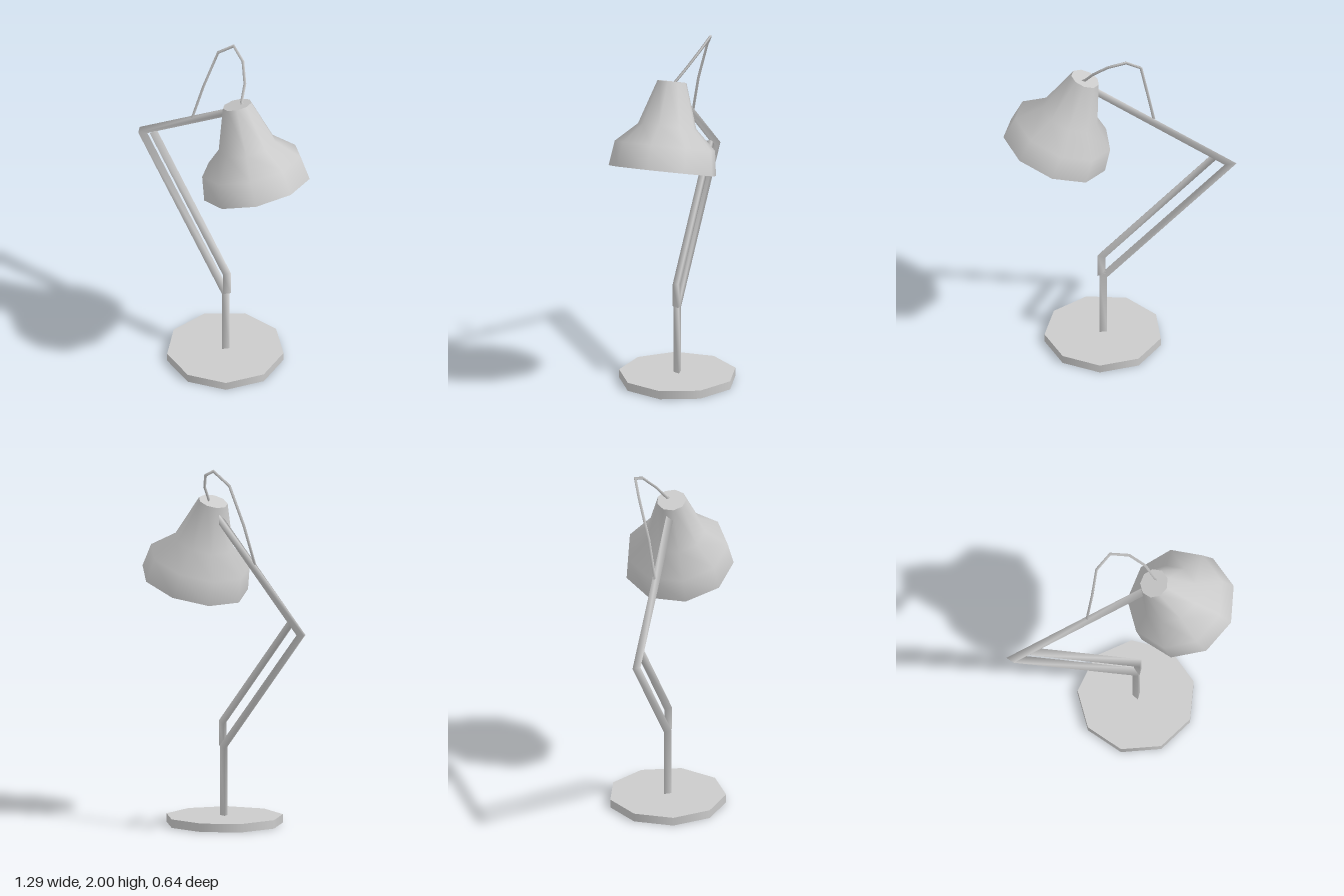
import * as THREE from 'three';

const grey = new THREE.MeshStandardMaterial({ color: 0xcccccc });
const greyThin = new THREE.MeshStandardMaterial({ color: 0xcccccc, side: THREE.DoubleSide });

function add(parent, name, geometry, material = grey) {
  const mesh = new THREE.Mesh(geometry, material);
  mesh.name = name;
  parent.add(mesh);
  return mesh;
}

// Three-sided rod swept along a polyline, mitred at the bends and capped at the ends
function rodGeometry(path, radius) {
  const pts = path.map(([x, y, z = 0]) => new THREE.Vector3(x, y, z));
  const last = pts.length - 1;
  const zAxis = new THREE.Vector3(0, 0, 1);
  const dirs = pts.slice(1).map((p, i) => p.clone().sub(pts[i]).normalize());
  const positions = [];
  const index = [];
  pts.forEach((p, i) => {
    const before = dirs[Math.max(i - 1, 0)];
    const after = dirs[Math.min(i, last - 1)];
    const tangent = before.clone().add(after).normalize();
    const side = tangent.clone().cross(zAxis).normalize();
    const up = side.clone().cross(tangent);
    const stretch = 1 / tangent.dot(after);
    for (let k = 0; k < 3; k++) {
      const a = Math.PI / 2 + (k * Math.PI * 2) / 3;
      const v = p.clone()
        .addScaledVector(side, Math.cos(a) * radius * stretch)
        .addScaledVector(up, Math.sin(a) * radius);
      positions.push(v.x, v.y, v.z);
      if (i < last) {
        const a0 = i * 3 + k, a1 = i * 3 + ((k + 1) % 3);
        index.push(a0, a0 + 3, a1 + 3, a0, a1 + 3, a1);
      }
    }
  });
  // End caps on their own vertices
  const n = pts.length * 3;
  positions.push(...positions.slice(0, 9), ...positions.slice(n * 3 - 9, n * 3));
  index.push(n, n + 1, n + 2, n + 5, n + 4, n + 3);
  const g = new THREE.BufferGeometry();
  g.setAttribute('position', new THREE.Float32BufferAttribute(positions, 3));
  g.setIndex(index);
  g.computeVertexNormals();
  return g;
}

function createShade() {
  const shade = new THREE.Group();
  shade.name = 'shade';
  const sides = 9;
  const lathe = (profile) => new THREE.LatheGeometry(
    profile.map(([r, y]) => new THREE.Vector2(r, y)), sides, Math.PI / 2);

  // Bell-shaped outer wall, from rim to neck
  const outer = [[0.302, 0], [0.282, 0.138], [0.164, 0.247], [0.0815, 0.494]];
  add(shade, 'shadeWall', lathe(outer));

  // Thin lining with a narrow rim
  const inner = [[0, 0.484], [0.072, 0.484], [0.154, 0.241], [0.272, 0.131], [0.292, 0]];
  add(shade, 'shadeLining', lathe(inner), greyThin);
  add(shade, 'shadeRim', lathe([[0.292, 0], [0.302, 0]]), greyThin);

  // Flat top of the neck
  const cap = add(shade, 'shadeCap', new THREE.CircleGeometry(0.0815, sides));
  cap.rotation.x = -Math.PI / 2;
  cap.position.y = 0.494;

  shade.position.set(0.356, 1.317, 0);
  shade.rotation.z = THREE.MathUtils.degToRad(20);
  return shade;
}

export function createModel() {
  const lamp = new THREE.Group();
  lamp.name = 'deskLamp';

  // Nine-sided foot
  const base = add(lamp, 'base',
    new THREE.CylinderGeometry(0.325, 0.325, 0.047, 9, 1, false, Math.PI / 2));
  base.position.set(0.087, 0.0235, 0);

  // Post, lower arm and upper arm in one bent rod
  add(lamp, 'mainArm',
    rodGeometry([[0.088, 0.04], [0.088, 0.428], [-0.617, 1.135], [0.132, 1.7]], 0.025));

  // Parallel rod above the lower arm
  add(lamp, 'parallelRod',
    rodGeometry([[0.098, 0.433], [0.098, 0.563], [-0.52, 1.187]], 0.025));

  // Loose cable from the upper arm into the top of the shade
  add(lamp, 'cable', rodGeometry([
    [-0.193, 1.475, 0], [-0.152, 1.69, -0.045], [-0.108, 1.915, -0.112],
    [-0.022, 1.99, -0.155], [0.08, 1.95, -0.135], [0.157, 1.868, -0.082],
    [0.195, 1.79, -0.025], [0.222, 1.775, -0.012],
  ], 0.009));

  lamp.add(createShade());
  return lamp;
}
